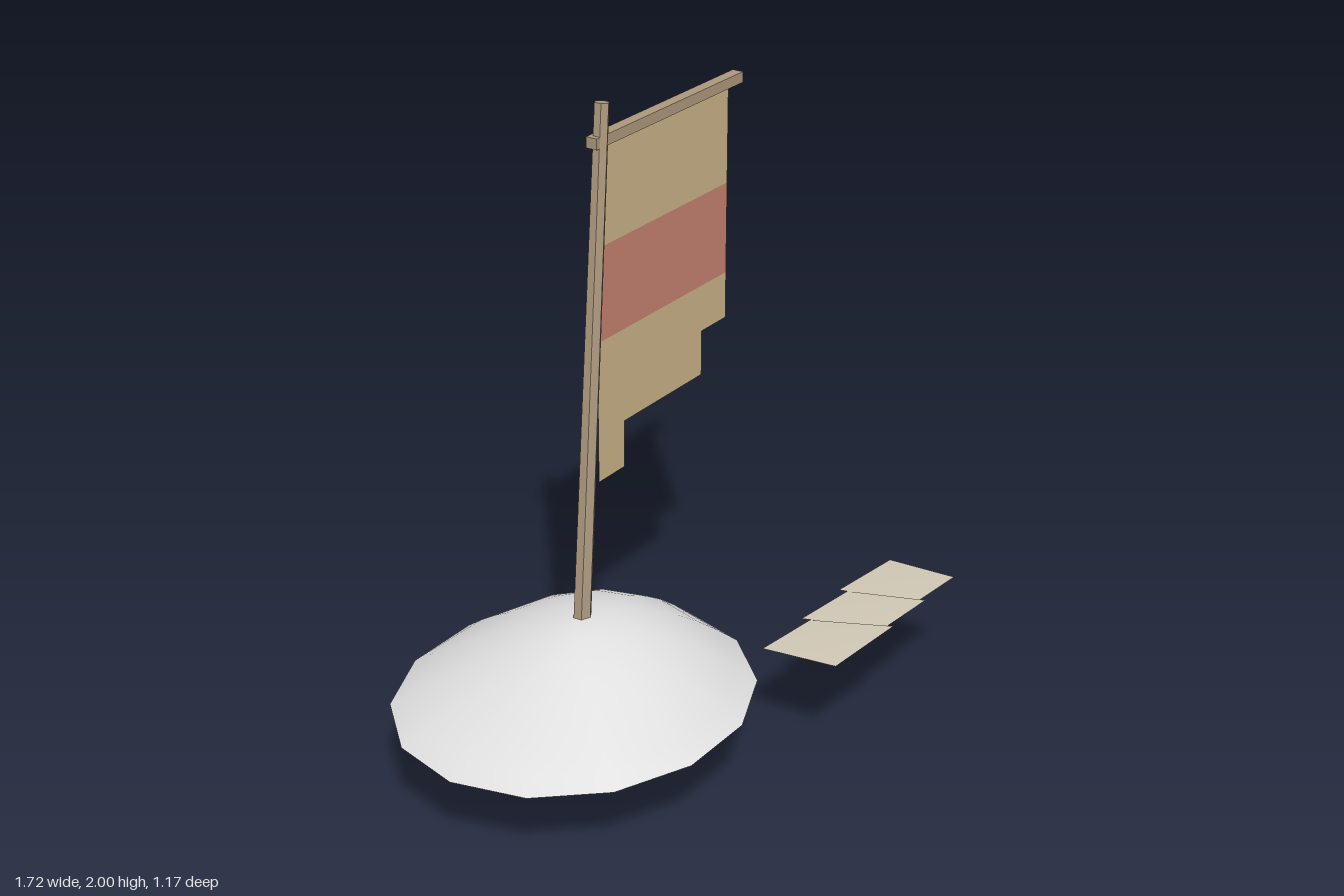
import * as THREE from 'three';

const material = (name, color, side = THREE.FrontSide) => {
  const m = new THREE.MeshStandardMaterial({ color, side });
  m.name = name;
  return m;
};

export function createModel() {
  const group = new THREE.Group();
  const wood = material('wood', 0xab977c);
  wood.flatShading = true;
  const snow = material('pale mound', 0xdedede, THREE.DoubleSide);
  const cloth = material('tan cloth', 0xc9b186, THREE.DoubleSide);
  const red = material('faded red', 0xc4806d, THREE.DoubleSide);
  const scrap = material('pale scrap', 0xd2c9b6, THREE.DoubleSide);

  const add = (name, geometry, mat) => {
    const mesh = new THREE.Mesh(geometry, mat);
    mesh.name = name;
    group.add(mesh);
    return mesh;
  };

  // Leaning six-sided pole
  const foot = new THREE.Vector3(-0.275, 0.003, -0.082);
  const tip = new THREE.Vector3(-0.022, 1.997, -0.153);
  const axis = tip.clone().sub(foot);
  const pole = add('pole', new THREE.CylinderGeometry(0.023, 0.03, axis.length(), 6), wood);
  pole.position.copy(foot).add(tip).multiplyScalar(0.5);
  pole.quaternion.setFromUnitVectors(new THREE.Vector3(0, 1, 0), axis.normalize());

  // Crossbar
  add('crossbar', new THREE.BoxGeometry(0.735, 0.033, 0.036), wood)
    .position.set(0.2975, 1.89, -0.155);

  // Torn banner in three bands sharing one plane
  const band = (name, points, mat) => {
    const shape = new THREE.Shape(points.map(([x, y]) => new THREE.Vector2(x, y)));
    add(name, new THREE.ShapeGeometry(shape), mat).position.z = -0.155;
  };
  const L = -0.05, R = 0.615;
  band('bannerTop', [[L, 1.57], [R, 1.57], [R, 1.88], [L, 1.88]], cloth);
  band('bannerStripe', [[L, 1.28], [R, 1.28], [R, 1.57], [L, 1.57]], red);
  band('bannerTornEnd', [[L, 0.835], [0.08, 0.835], [0.08, 0.985], [0.485, 0.985],
    [0.485, 1.13], [R, 1.13], [R, 1.28], [L, 1.28]], cloth);

  // Open-bottomed mound: 14-sided rings, swollen toward +x and hollow toward -x
  const sides = 14, rings = 8, pos = [-0.277, 0.477, -0.083], index = [];
  for (let r = 1; r <= rings; r++) {
    const t = r / rings;
    for (let s = 0; s < sides; s++) {
      const a = (s / sides) * Math.PI * 2;
      const y = 0.255 + 0.222 * (1 - Math.pow(t, 1.65)) + 0.04 * Math.sin(Math.PI * t) * Math.cos(a);
      pos.push(-0.277 + 0.5875 * t * Math.cos(a), y, -0.083 + 0.518 * t * Math.sin(a));
    }
  }
  for (let s = 0; s < sides; s++) {
    const n = (s + 1) % sides;
    index.push(0, 1 + n, 1 + s);
    for (let r = 0; r < rings - 1; r++) {
      const a = 1 + r * sides, b = a + sides;
      index.push(a + s, a + n, b + s, a + n, b + n, b + s);
    }
  }
  const mound = new THREE.BufferGeometry();
  mound.setAttribute('position', new THREE.Float32BufferAttribute(pos, 3));
  mound.setIndex(index);
  mound.computeVertexNormals();
  add('mound', mound, snow);

  // Three overlapping scraps: back left, back right, front right, front left
  const scraps = [
    [[0.165, 0.317, 0.29], [0.385, 0.322, 0.32], [0.44, 0.36, 0.58], [0.165, 0.342, 0.545]],
    [[0.385, 0.317, 0.29], [0.605, 0.322, 0.32], [0.635, 0.36, 0.58], [0.43, 0.345, 0.55]],
    [[0.605, 0.317, 0.29], [0.86, 0.322, 0.325], [0.815, 0.36, 0.58], [0.63, 0.345, 0.55]],
  ];
  scraps.forEach((corners, i) => {
    const g = new THREE.BufferGeometry();
    g.setAttribute('position', new THREE.Float32BufferAttribute(corners.flat(), 3));
    g.setIndex([0, 2, 1, 0, 3, 2]);
    g.computeVertexNormals();
    add('scrap' + (i + 1), g, scrap);
  });

  return group;
}
